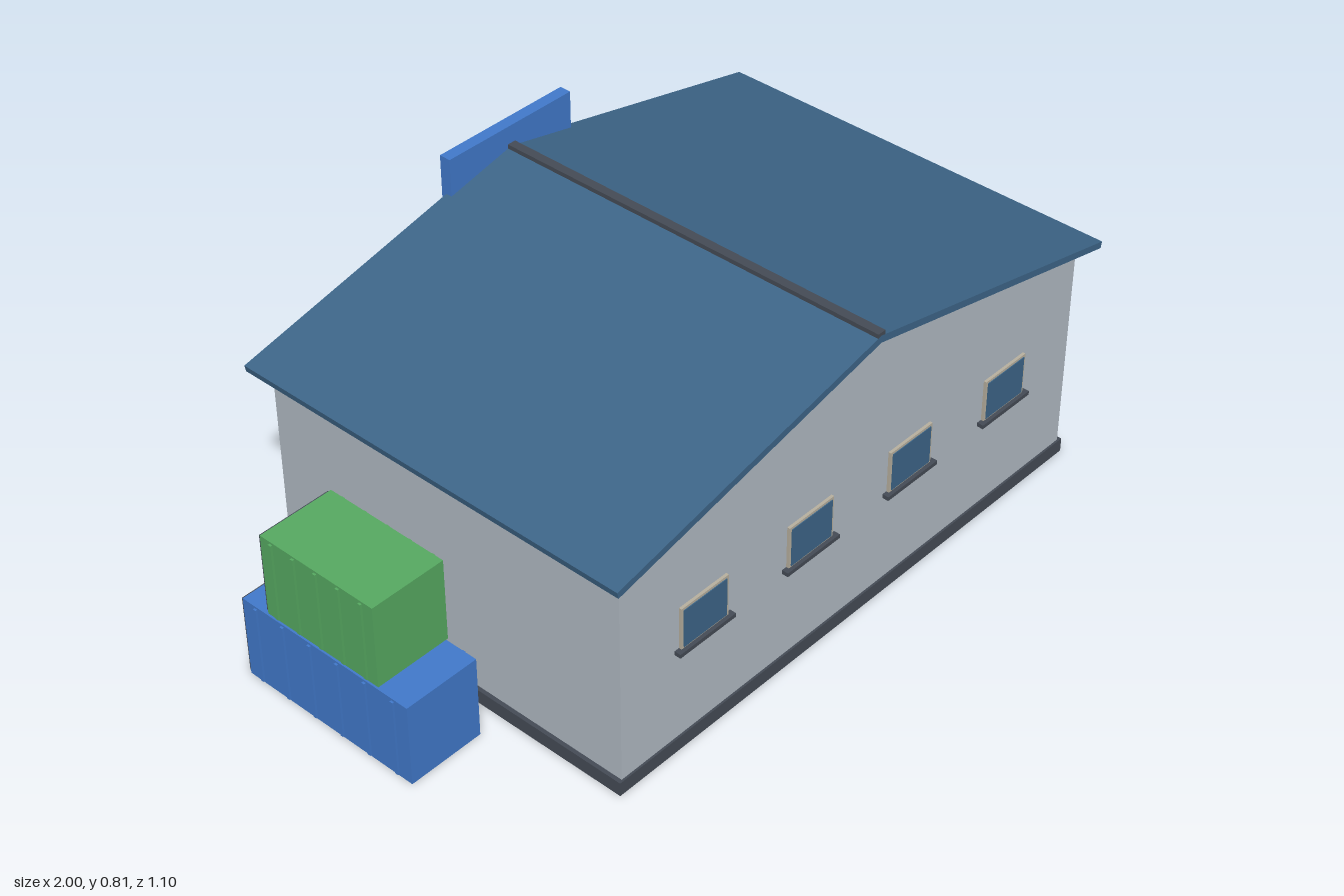
import * as THREE from 'three';

const mat = (name, color) => {
  const m = new THREE.MeshStandardMaterial({ color });
  m.name = name;
  return m;
};

export function createModel() {
  const wall = mat('wall grey', 0xb2bbc4);
  const roofBlue = mat('roof blue', 0x3d6689);
  const dark = mat('dark slate', 0x454c56);
  const blue = mat('bright blue', 0x427acc);
  const green = mat('green', 0x57ab62);
  const red = mat('red', 0xcb5b5b);
  const gold = mat('gold', 0xc9a136);
  const tan = mat('shutter tan', 0xb9b1a0);

  const model = new THREE.Group();
  model.name = 'warehouse';

  // Box given by its minimum and maximum corners
  function box(parent, name, material, [x0, y0, z0], [x1, y1, z1]) {
    const mesh = new THREE.Mesh(new THREE.BoxGeometry(x1 - x0, y1 - y0, z1 - z0), material);
    mesh.position.set((x0 + x1) / 2, (y0 + y1) / 2, (z0 + z1) / 2);
    mesh.name = name;
    parent.add(mesh);
    return mesh;
  }

  // Outline in x and y, extruded from z0 to z1
  function prism(name, material, points, z0, z1) {
    const shape = new THREE.Shape(points.map(([x, y]) => new THREE.Vector2(x, y)));
    const geometry = new THREE.ExtrudeGeometry(shape, { depth: z1 - z0, bevelEnabled: false });
    const mesh = new THREE.Mesh(geometry, material);
    mesh.position.z = z0;
    mesh.name = name;
    model.add(mesh);
  }

  function group(name, parent = model) {
    const g = new THREE.Group();
    g.name = name;
    parent.add(g);
    return g;
  }

  // Building shell
  box(model, 'foundation', dark, [-0.74, 0, -0.473], [0.74, 0.035, 0.515]);
  box(model, 'walls', wall, [-0.73, 0.035, -0.464], [0.73, 0.572, 0.51]);
  prism('gable', wall, [[-0.73, 0.572], [0.73, 0.572], [0, 0.739]], -0.466, 0.511);

  // Pitched roof with overhanging eaves, and ridge cap
  prism('roof', roofBlue, [
    [-0.77, 0.565], [0, 0.735], [0.77, 0.565], [0.773, 0.581], [0, 0.753], [-0.773, 0.581],
  ], -0.5, 0.547);
  box(model, 'ridgeCap', dark, [-0.011, 0.74, -0.5], [0.011, 0.761, 0.547]);

  // Front windows
  for (const x of [-0.49, -0.163, 0.163, 0.49]) {
    const w = group('window');
    box(w, 'windowFrame', tan, [x - 0.07, 0.274, 0.508], [x + 0.07, 0.38, 0.517]);
    box(w, 'windowGlass', roofBlue, [x - 0.064, 0.278, 0.512], [x + 0.064, 0.374, 0.519]);
    box(w, 'windowSill', dark, [x - 0.083, 0.264, 0.508], [x + 0.083, 0.274, 0.526]);
  }

  // Rear roller door
  const door = group('rollerDoor');
  box(door, 'doorPanel', tan, [-0.31, 0.035, -0.47], [0.31, 0.4, -0.46]);
  for (let i = 1; i <= 8; i++) {
    const y = 0.03 + i * 0.042;
    box(door, 'doorSlatGroove', dark, [-0.305, y - 0.004, -0.475], [0.305, y + 0.004, -0.468]);
  }
  for (const s of [-1, 1]) {
    const x = s * 0.316;
    box(door, 'doorJamb', gold, [x - 0.01, 0.03, -0.475], [x + 0.01, 0.42, -0.46]);
  }
  box(door, 'doorLintel', gold, [-0.306, 0.4, -0.475], [0.306, 0.42, -0.46]);

  // Stacked plates of the rear sign
  const sign = group('sign');
  box(sign, 'signBackPlate', blue, [-0.185, 0.598, -0.513], [0.185, 0.805, -0.484]);
  box(sign, 'signMiddlePlate', green, [-0.12, 0.633, -0.531], [0.12, 0.768, -0.513]);
  box(sign, 'signFrontPlate', red, [-0.07, 0.662, -0.548], [0.07, 0.738, -0.531]);

  // Shipping container with ribbed sides and dark doors at the rear end
  function container(name, material, x, y, z0, z1, ribs) {
    const c = group(name);
    const h = 0.208, half = 0.096;
    box(c, 'containerBody', material, [x - half, y, z0], [x + half, y + h, z1]);
    for (let i = 0; i < ribs; i++) {
      const z = z1 - (z1 - z0) * (i + 0.5) / ribs;
      for (const s of [-1, 1]) {
        const cx = x + s * (half + 0.001);
        box(c, 'sideRib', material, [cx - 0.004, y + 0.005, z - 0.004], [cx + 0.004, y + h - 0.005, z + 0.004]);
      }
    }
    box(c, 'containerDoors', dark, [x - half + 0.003, y + 0.004, z0 - 0.006], [x + half - 0.003, y + h - 0.004, z0]);
    for (const dx of [-0.045, 0, 0.045]) {
      box(c, 'lockingBar', wall, [x + dx - 0.002, y + 0.012, z0 - 0.009], [x + dx + 0.002, y + h - 0.012, z0 - 0.005]);
    }
  }
  container('redContainer', red, 0.895, 0, -0.138, 0.183, 5);
  container('blueContainer', blue, -0.899, 0, -0.302, 0.183, 6);
  container('greenContainer', green, -0.899, 0.215, -0.222, 0.103, 5);

  return model;
}
